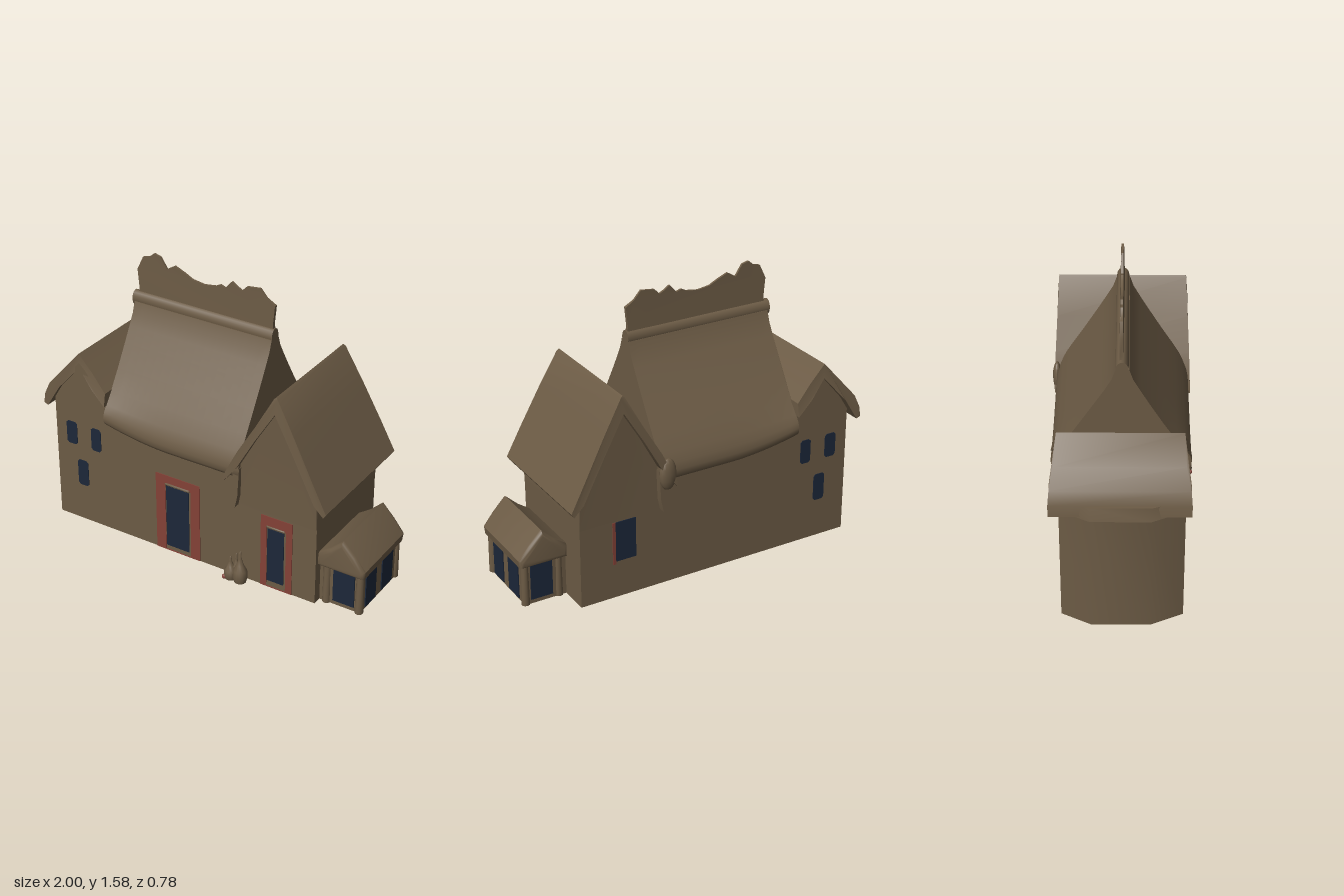
import * as THREE from 'three';
import { toCreasedNormals } from 'three/addons/utils/BufferGeometryUtils.js';

const brown = new THREE.MeshStandardMaterial({ name: 'weathered brown', color: 0x6c5b45 });
const red = new THREE.MeshStandardMaterial({ name: 'dull red paint', color: 0x834137 });
const navy = new THREE.MeshStandardMaterial({ name: 'dark blue glass', color: 0x1c2739 });

const shapeOf = pts => new THREE.Shape(pts.map(p => new THREE.Vector2(p[0], p[1])));

// Extrude an (x, y) outline from z0 to z1
function alongZ(pts, z0, z1, bevel = 0) {
  const g = new THREE.ExtrudeGeometry(shapeOf(pts), {
    depth: z1 - z0 - 2 * bevel, steps: 1, bevelEnabled: bevel > 0,
    bevelSize: bevel, bevelThickness: bevel, bevelSegments: 4,
  });
  return g.translate(0, 0, z0 + bevel);
}

// Extrude a (z, y) outline from x0 to x1
function alongX(pts, x0, x1, steps = 1) {
  const g = new THREE.ExtrudeGeometry(shapeOf(pts), { depth: x1 - x0, steps, bevelEnabled: false });
  return g.rotateY(-Math.PI / 2).translate(x1, 0, 0);
}

// Extrude an (x, z) footprint from y0 to y1
function upward(pts, y0, y1) {
  const g = new THREE.ExtrudeGeometry(shapeOf(pts.map(p => [p[0], -p[1]])), { depth: y1 - y0, bevelEnabled: false });
  return g.rotateX(-Math.PI / 2).translate(0, y0, 0);
}

// Move every vertex by a rule
function bend(g, rule) {
  const p = g.attributes.position, v = new THREE.Vector3();
  for (let i = 0; i < p.count; i++) {
    rule(v.fromBufferAttribute(p, i));
    p.setXYZ(i, v.x, v.y, v.z);
  }
  g.computeVertexNormals();
  return g;
}

export function createModel() {
  const model = new THREE.Group();
  model.name = 'house';
  const add = (name, geo, mat = brown, crease = 0.6) => {
    const m = new THREE.Mesh(toCreasedNormals(geo, crease), mat);
    m.name = name;
    model.add(m);
  };
  const box = (name, x0, x1, y0, y1, z0, z1, mat = brown) =>
    add(name, new THREE.BoxGeometry(x1 - x0, y1 - y0, z1 - z0)
      .translate((x0 + x1) / 2, (y0 + y1) / 2, (z0 + z1) / 2), mat);

  // Walls, with the left end chamfered
  add('mainWalls', upward([[-0.92, 0.31], [-1, 0.14], [-1, -0.16], [-0.92, -0.315], [0.73, -0.315], [0.73, 0.31]], 0, 0.69));
  add('leftUpperWalls', bend(
    upward([[-0.92, 0.31], [-1, 0.14], [-1, -0.16], [-0.92, -0.315], [-0.57, -0.315], [-0.57, 0.31]], 0.69, 0.76),
    v => { if (v.y > 0.7 && v.x < -0.95) v.x += 0.02; }));
  add('leftGableWall', alongZ([[-0.92, 0.6], [-0.57, 0.6], [-0.57, 0.82], [-0.75, 0.99], [-0.92, 0.78]], -0.315, 0.31));
  add('rightGableWall', bend(alongZ([[0.26, 0.47], [0.28, 0.45], [0.73, 0.45], [0.73, 0.66], [0.49, 1.1], [0.26, 0.68]], -0.325, 0.325),
    v => { if (v.y < 0.5) v.z = v.z > 0 ? 0.311 : -0.316; }));

  // Left gable roof, drawn in along its ridge
  add('leftRoof', bend(alongZ([
    [-0.975, 0.7], [-0.965, 0.76], [-0.935, 0.83], [-0.86, 0.92], [-0.75, 1.045], [-0.66, 0.95], [-0.568, 0.865],
    [-0.568, 0.79], [-0.66, 0.865], [-0.75, 0.96], [-0.87, 0.82], [-0.95, 0.69]], -0.365, 0.34),
  v => { v.z *= 1 - 0.11 * THREE.MathUtils.smoothstep(v.y, 0.78, 0.98); }));

  // Right gable roof, slightly narrower along its ridge
  add('rightRoof', bend(alongZ([
    [0.19, 0.59], [0.195, 0.63], [0.28, 0.8], [0.38, 0.97], [0.48, 1.155], [0.49, 1.165], [0.502, 1.155],
    [0.61, 0.965], [0.72, 0.76], [0.805, 0.6], [0.79, 0.577], [0.735, 0.63], [0.61, 0.86], [0.49, 1.07],
    [0.38, 0.89], [0.27, 0.69]], -0.38, 0.36),
  v => { v.z *= 1 - 0.05 * THREE.MathUtils.smoothstep(v.y, 0.6, 1.1) - 0.03 * THREE.MathUtils.smoothstep(v.y, 1.14, 1.165); }));

  // Hanging brackets below the inner eave
  for (const [z0, z1] of [[0.31, 0.345], [-0.355, -0.315]])
    add('eaveBracket', alongZ([[0.245, 0.67], [0.245, 0.52], [0.26, 0.45], [0.275, 0.52], [0.285, 0.69]], z0, z1));
  add('backEaveKnob', new THREE.SphereGeometry(1, 12, 8).scale(0.05, 0.09, 0.025).translate(0.24, 0.67, -0.365), brown, 0.9);

  // Main roof: straight slopes rolling over at the eaves, lifting towards the left end
  const half = [[0.315, 0.625], [0.335, 0.632], [0.345, 0.65], [0.347, 0.68], [0.338, 0.72], [0.315, 0.77], [0.27, 0.85],
    [0.2, 0.965], [0.13, 1.085], [0.085, 1.165], [0.05, 1.23], [0.03, 1.29]];
  const roofOutline = [...half, ...half.map(([z, y]) => [-z - 0.006 - z * 0.04, y]).reverse()];
  add('mainRoof', bend(alongX(roofOutline, -0.57, 0.28, 16), v => {
    const low = 1 - THREE.MathUtils.smoothstep(v.y, 0.62, 0.9);
    v.y += 0.055 * low * Math.pow(THREE.MathUtils.clamp((-0.15 - v.x) / 0.42, 0, 1), 1.8);
  }), brown, 0.75);

  // Ridge roll and ragged crest
  add('ridgeRoll', new THREE.CylinderGeometry(0.034, 0.034, 0.865, 14).rotateZ(Math.PI / 2)
    .scale(1, 1.3, 0.95).translate(-0.153, 1.3, -0.005), brown, 0.9);
  add('ridgeCrest', bend(alongZ([
    [-0.57, 1.3], [0.275, 1.3], [0.27, 1.37], [0.28, 1.47], [0.23, 1.5], [0.19, 1.545], [0.11, 1.535],
    [0.08, 1.505], [0.05, 1.52], [0.02, 1.54], [-0.02, 1.495], [-0.05, 1.505], [-0.08, 1.49], [-0.15, 1.48],
    [-0.22, 1.49], [-0.27, 1.515], [-0.33, 1.54], [-0.38, 1.51], [-0.42, 1.57], [-0.46, 1.58],
    [-0.49, 1.555], [-0.53, 1.545], [-0.565, 1.47], [-0.555, 1.36]], -0.02, 0.005),
  v => { if (v.y > 1.34) v.z = -0.008 + (v.z + 0.008) * (v.y > 1.48 ? 0.5 : 0.75); }));

  // Front doors with painted surrounds
  for (const [x0, x1, top, d0, d1, dBottom, dTop] of [
    [-0.26, 0.02, 0.475, -0.195, -0.05, 0.03, 0.41], [0.4, 0.59, 0.44, 0.44, 0.54, 0.04, 0.365]]) {
    const frame = shapeOf([[x0, 0], [x1, 0], [x1, top], [x0, top]]);
    const hole = [[d0 - 0.004, 0.005], [d0 - 0.004, dTop + 0.01], [d1 + 0.012, dTop + 0.01], [d1 + 0.012, 0.005]];
    frame.holes.push(new THREE.Path(hole.map(p => new THREE.Vector2(...p))));
    add('doorSurround', new THREE.ExtrudeGeometry(frame, { depth: 0.006, bevelEnabled: false }).translate(0, 0, 0.308), red);
    box('door', d0, d1, dBottom, dTop, 0.306, 0.313, navy);
    add('doorLintel', new THREE.CapsuleGeometry(0.008, d1 - d0, 4, 8).rotateZ(Math.PI / 2)
      .translate((d0 + d1) / 2, dTop + 0.012, 0.311), brown, 0.9);
  }

  // Small windows on both faces of the left gable
  for (const [x0, x1, y0, y1] of [[-0.85, -0.78, 0.475, 0.615], [-0.685, -0.62, 0.475, 0.615], [-0.785, -0.715, 0.225, 0.385]]) {
    const c = 0.012;
    const pane = [[x0, y0 + c], [x0 + c, y0], [x1 - c, y0], [x1, y0 + c], [x1, y1 - c], [x1 - c, y1], [x0 + c, y1], [x0, y1 - c]];
    add('frontWindow', alongZ(pane, 0.306, 0.313), navy);
    add('backWindow', alongZ(pane, -0.318, -0.311), navy);
  }

  // Back window with a painted edge
  box('backLargeWindow', 0.405, 0.525, 0.215, 0.445, -0.319, -0.312, navy);
  box('backWindowEdge', 0.525, 0.542, 0.2, 0.445, -0.32, -0.312, red);

  // Side porch
  box('porchWalls', 0.72, 0.97, 0, 0.25, -0.145, 0.26);
  for (const [x, z] of [[0.962, 0.255], [0.77, 0.255], [0.962, -0.135], [0.77, -0.135]])
    add('porchPost', new THREE.CylinderGeometry(0.02, 0.023, 0.24, 10).translate(x, 0.12, z), brown, 0.9);
  add('porchRoof', alongZ([[0.745, 0.25], [0.97, 0.25], [0.972, 0.265], [0.92, 0.33], [0.865, 0.387],
    [0.81, 0.335], [0.745, 0.29]], -0.168, 0.292, 0.024), brown, 0.8);
  box('porchFrontWindow', 0.81, 0.935, 0.025, 0.23, 0.258, 0.266, navy);
  box('porchBackWindow', 0.81, 0.935, 0.025, 0.23, -0.151, -0.143, navy);
  for (const [z0, z1] of [[0.1, 0.212], [-0.082, 0.035]])
    box('porchSideWindow', 0.968, 0.976, 0.012, 0.208, z0, z1, navy);

  // Gourd jars beside the right door, with a small red fruit
  const jar = [[0, 0], [0.03, 0], [0.037, 0.03], [0.034, 0.07], [0.018, 0.105], [0.008, 0.14], [0.006, 0.18], [0, 0.19]];
  for (const [x, z, s, h] of [[0.238, 0.35, 1, 0.74], [0.298, 0.35, 1.1, 1], [0.265, 0.335, 0.8, 0.85]])
    add('gourdJar', new THREE.LatheGeometry(jar.map(p => new THREE.Vector2(...p)), 14).scale(s, h, s).translate(x, 0, z), brown, 0.9);
  add('redFruit', new THREE.SphereGeometry(0.014, 10, 8).translate(0.215, 0.014, 0.375), red, 0.9);

  return model;
}
